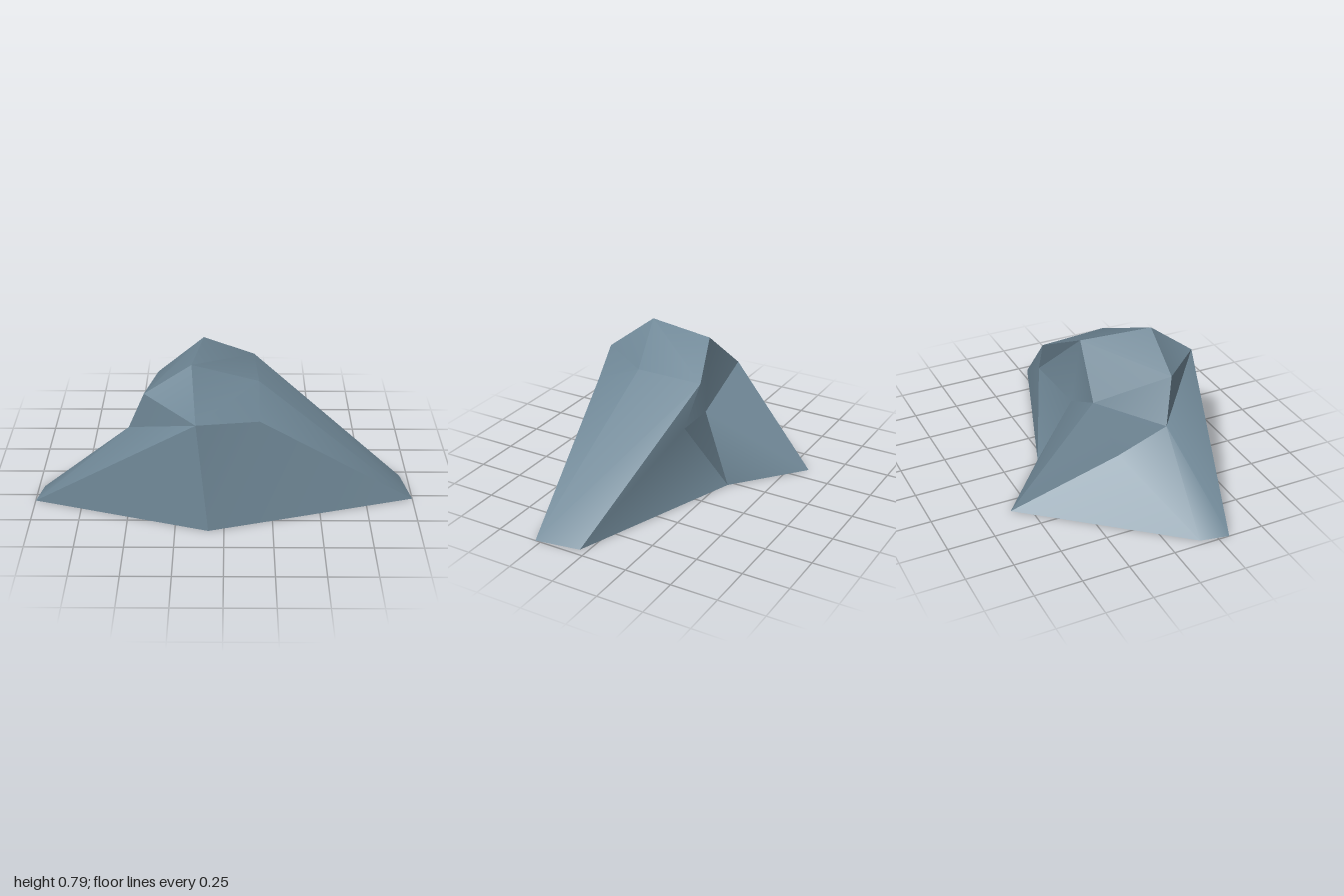
import * as THREE from 'three';
import { toCreasedNormals } from 'three/addons/utils/BufferGeometryUtils.js';

// Corners of the boulder: capitals lie on the ground, small letters above it
const corners = {
  A: [-1, 0, 0.31], B: [-0.08, 0, 0.6], C: [1, 0, 0.28], D: [0.96, 0, 0.04],
  E: [0.03, 0, -0.29], F: [-0.34, 0, -0.6], G: [-0.97, 0, 0.16],
  a: [-0.5, 0.39, 0.21], b: [-0.14, 0.58, 0.55], c: [0.18, 0.535, 0.42],
  d: [0.28, 0.42, -0.165], e: [0.16, 0.63, -0.19], f: [-0.11, 0.77, -0.095],
  g: [-0.165, 0.785, 0.285], h: [-0.41, 0.62, 0.28], i: [-0.36, 0.545, -0.14],
  j: [-0.036, 0.37, -0.115], k: [-0.475, 0.27, -0.05], l: [0.18, 0.64, 0.17],
};

// Facets, each a counter-clockwise loop of corners fanned from its first one
const facets = [
  'ABb', 'BCcb',                        // front
  'CDel', 'Clc', 'Dde', 'DEd',          // right slope
  'Ejd', 'djfe', 'jEFif',               // back, with the overhang
  'FGk', 'Gak', 'GAa', 'Aba', 'abh',    // left slope
  'hbg', 'bclg', 'glef',                // crown
  'fhg', 'fih', 'iah', 'ika', 'iFk',    // back left hollow
  'BAGFEDC',                            // underside
];

function facetedGeometry() {
  const positions = [];
  for (const loop of facets) {
    for (let n = 1; n < loop.length - 1; n++) {
      for (const key of [loop[0], loop[n], loop[n + 1]]) positions.push(...corners[key]);
    }
  }
  const geometry = new THREE.BufferGeometry();
  geometry.setAttribute('position', new THREE.Float32BufferAttribute(positions, 3));
  // Soft across shallow edges, sharp across the rest
  return toCreasedNormals(geometry, 0.52);
}

export function createModel() {
  const stone = new THREE.MeshStandardMaterial({ color: 0x6f8796 });
  stone.name = 'blue grey stone';
  const boulder = new THREE.Mesh(facetedGeometry(), stone);
  boulder.name = 'boulder';
  const model = new THREE.Group();
  model.name = 'rock';
  model.add(boulder);
  return model;
}
